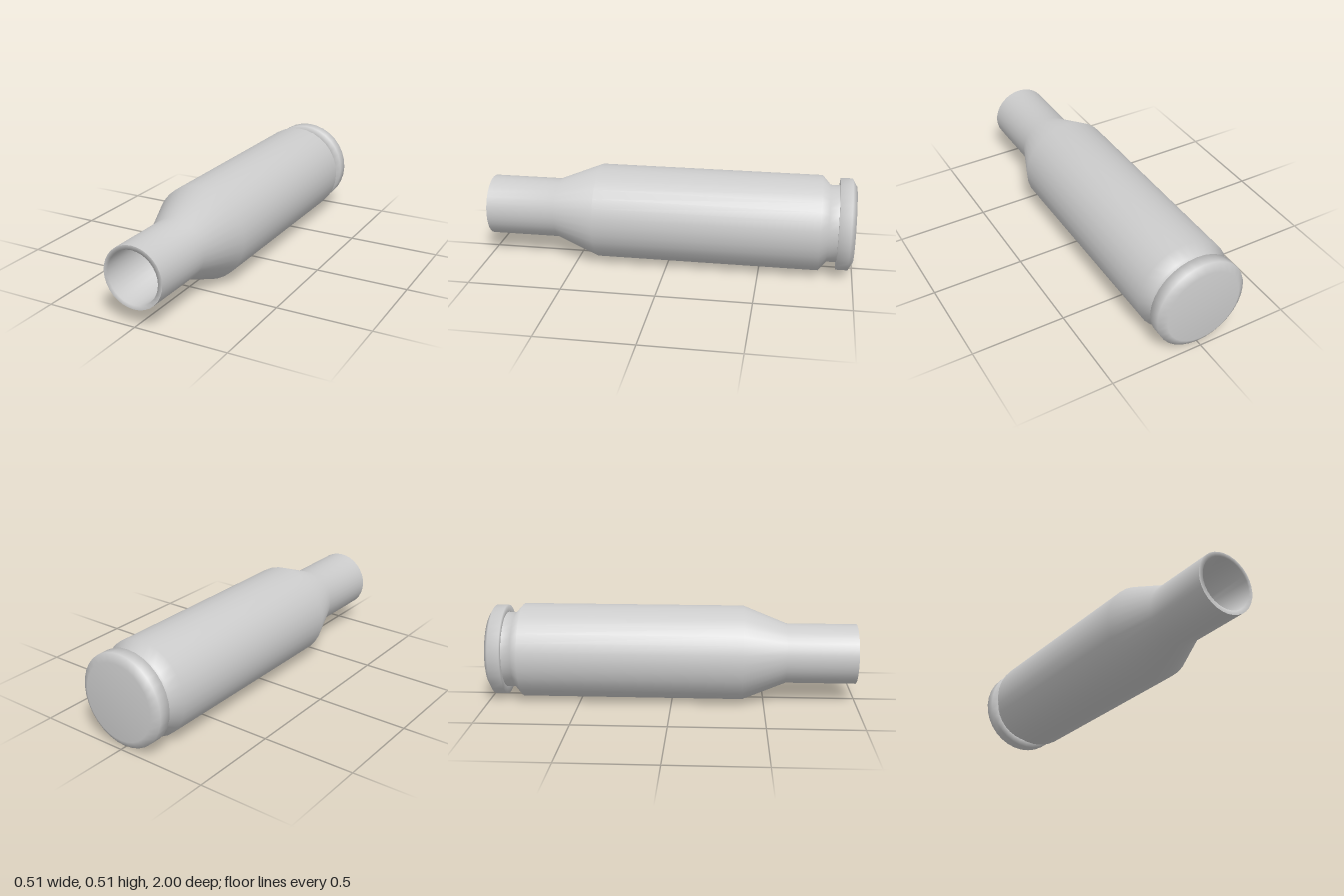
import * as THREE from 'three';

const SIDES = 32;
const RADIUS = 0.257;

// Turned part whose axis runs along z; points are [radius, z]
function turned(name, points, material) {
  const geometry = new THREE.LatheGeometry(points.map(([r, z]) => new THREE.Vector2(r, z)), SIDES);
  geometry.rotateX(Math.PI / 2);
  const mesh = new THREE.Mesh(geometry, material);
  mesh.name = name;
  mesh.position.y = RADIUS;
  return mesh;
}

export function createModel() {
  const group = new THREE.Group();
  group.name = 'cartridgeCase';
  const material = new THREE.MeshStandardMaterial({ color: 0xcccccc });

  // Flat base with a bevelled rim, ending at the extractor groove
  group.add(turned('baseRim', [
    [0, -1], [0.205, -1], [0.247, -0.975], [0.247, -0.912], [0.207, -0.912],
  ], material));

  // Groove, straight body, tapered shoulder and neck
  group.add(turned('body', [
    [0.207, -0.912], [0.207, -0.862], [RADIUS, -0.817], [RADIUS, 0.385],
    [0.163, 0.62], [0.163, 1],
  ], material));

  // Mouth lip, bore wall and closed floor of the bore
  group.add(turned('mouthAndBore', [
    [0.163, 1], [0.14, 1], [0.14, 0.62], [0, 0.62],
  ], material));

  return group;
}
